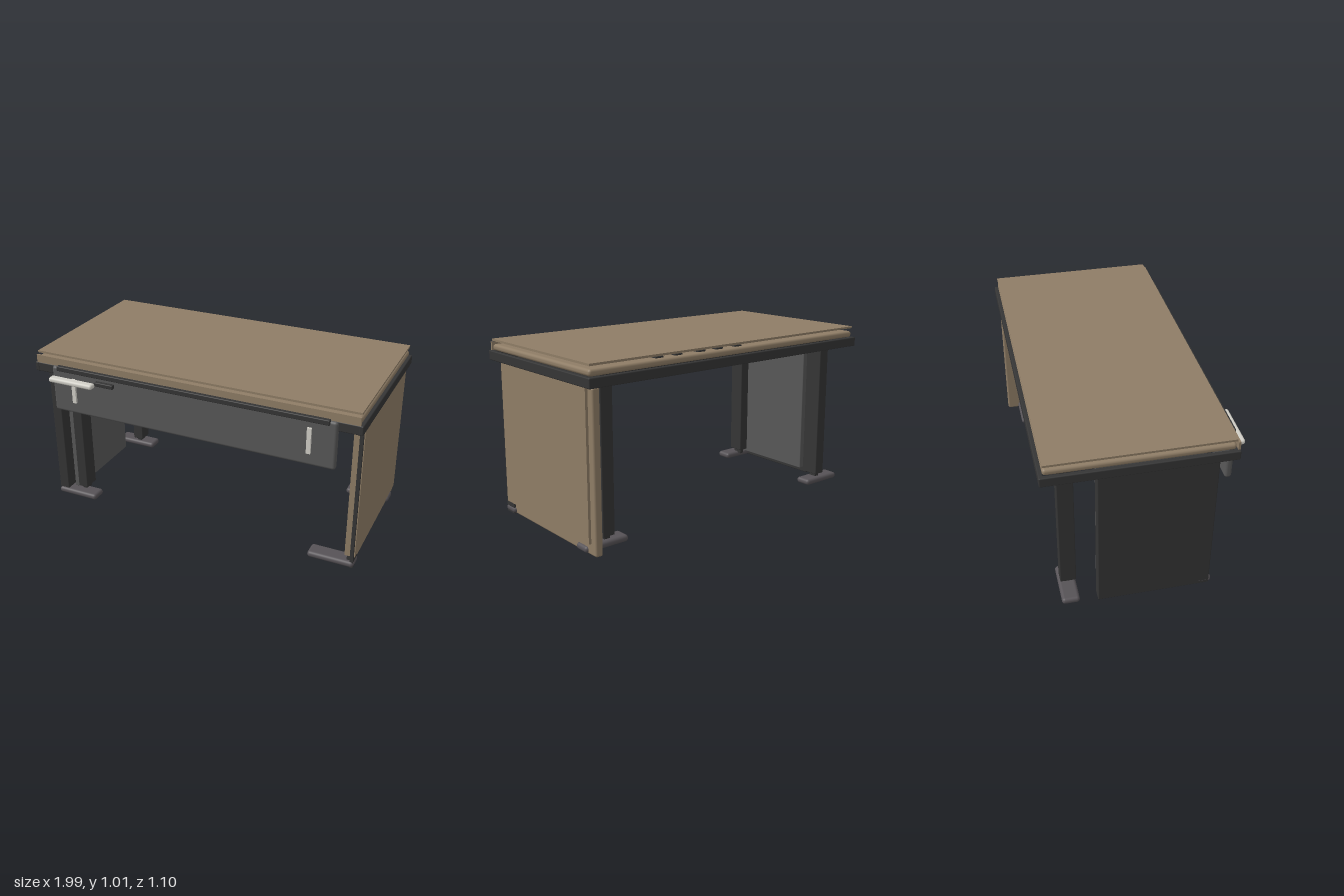
import * as THREE from 'three';
import { RoundedBoxGeometry } from 'three/addons/geometries/RoundedBoxGeometry.js';

const mat = (name, color) => {
  const m = new THREE.MeshStandardMaterial({ color });
  m.name = name;
  return m;
};

export function createModel() {
  const wood = mat('brown wood', 0x8f7d66);
  const dark = mat('charcoal metal', 0x353535);
  const grey = mat('grey panel', 0x585858);
  const footGrey = mat('foot grey', 0x565256);
  const light = mat('pale plastic', 0xd2d0c8);
  const desk = new THREE.Group();
  desk.name = 'desk';

  // Box given by its limits on each axis; r rounds the edges
  function box(name, material, [x0, x1], [y0, y1], [z0, z1], r = 0) {
    const s = [x1 - x0, y1 - y0, z1 - z0];
    const geo = r ? new RoundedBoxGeometry(...s, 3, r) : new THREE.BoxGeometry(...s);
    const mesh = new THREE.Mesh(geo, material);
    mesh.position.set((x0 + x1) / 2, (y0 + y1) / 2, (z0 + z1) / 2);
    mesh.name = name;
    desk.add(mesh);
    return mesh;
  }

  // Worktop: thick rounded board with a thin plate floating above
  box('worktop', wood, [-0.98, 0.98], [0.945, 0.982], [-0.53, 0.455], 0.016);
  box('topPlate', wood, [-0.98, 0.98], [1.0, 1.012], [-0.53, 0.457]);
  box('frontLip', wood, [-0.98, 0.98], [0.945, 0.992], [0.462, 0.474]);

  // Spacers under the plate
  for (const x of [-0.04, 0.1, 0.23, 0.39, 0.52]) {
    box('spacerBase', dark, [x - 0.025, x + 0.025], [0.982, 0.99], [-0.495, -0.4]);
    box('spacerPad', dark, [x - 0.018, x + 0.018], [0.99, 1.0], [-0.47, -0.43]);
  }

  // Outer frame and inner rails
  box('backRail', dark, [-0.98, 0.98], [0.89, 0.945], [-0.55, -0.525], 0.006);
  box('frontRail', dark, [-0.98, 0.98], [0.89, 0.945], [0.445, 0.473], 0.006);
  for (const s of [-1, 1]) {
    const side = [0.97, 0.995].map(v => v * s).sort((a, b) => a - b);
    const beam = [0.79, 0.86].map(v => v * s).sort((a, b) => a - b);
    box('sideRail', dark, side, [0.89, 0.945], [-0.55, 0.475], 0.006);
    box('crossBeam', dark, beam, [0.895, 0.945], [-0.45, 0.37]);
  }
  box('innerBackRail', dark, [-0.86, 0.86], [0.89, 0.945], [-0.45, -0.4]);
  box('innerFrontRail', dark, [-0.86, 0.86], [0.87, 0.945], [0.32, 0.37]);

  // Columns, each on a short post
  function column(x0, x1, z0, z1) {
    box('column', dark, [x0, x1], [0.06, 0.89], [z0, z1], 0.005);
    box('columnPost', dark, [x0 + 0.02, x1 - 0.02], [0.03, 0.06], [z0 + 0.02, z1 - 0.02]);
  }
  column(-0.86, -0.79, -0.45, -0.36);
  column(-0.855, -0.79, 0.25, 0.35);
  column(0.79, 0.865, -0.45, -0.36);

  // Rounded feet
  for (const [x0, x1] of [[-0.98, -0.71], [0.705, 0.98]]) {
    for (const [z0, z1] of [[-0.46, -0.36], [0.29, 0.39]]) {
      box('foot', footGrey, [x0, x1], [0.002, 0.04], [z0, z1], 0.018);
    }
  }

  // Right end: dark outer panel with a grey inner panel
  box('rightOuterPanel', dark, [-0.98, -0.915], [0, 0.89], [-0.26, 0.375], 0.006);
  box('rightInnerPanel', grey, [-0.895, -0.86], [0.04, 0.89], [-0.25, 0.33], 0.005);

  // Left end: wooden panels with a dark front edge
  box('leftPanel', wood, [0.92, 0.965], [0, 0.89], [-0.53, 0.32], 0.012);
  box('leftPanelFront', wood, [0.92, 0.955], [0.065, 0.89], [0.3, 0.365]);
  box('leftFacing', wood, [0.962, 0.98], [0.065, 0.89], [-0.487, 0.365]);
  box('leftFrontEdge', dark, [0.955, 0.975], [0, 0.86], [0.36, 0.38]);
  box('leftBase', dark, [0.935, 0.975], [0, 0.065], [0.3, 0.367]);

  // Front modesty panel and its trim
  box('modestyPanel', grey, [-0.87, 0.865], [0.665, 0.945], [0.45, 0.49], 0.016);
  box('panelTrim', dark, [-0.83, 0.825], [0.925, 0.955], [0.475, 0.502], 0.005);
  for (const x of [-0.722, 0.718]) {
    box('paleBracket', light, [x - 0.012, x + 0.012], [0.74, 0.89], [0.488, 0.503]);
  }

  // Handle at the front right
  box('handle', light, [-0.86, -0.57], [0.868, 0.898], [0.502, 0.55], 0.013);
  box('handleGrip', dark, [-0.57, -0.45], [0.882, 0.907], [0.488, 0.515], 0.005);

  // Cable clips behind the modesty panel
  for (const y of [0.59, 0.65, 0.71, 0.77]) {
    box('cableClip', dark, [0.72, 0.785], [y, y + 0.03], [0.26, 0.31], 0.005);
  }
  box('clipHolder', dark, [0.74, 0.77], [0.65, 0.89], [0.27, 0.3]);

  return desk;
}
